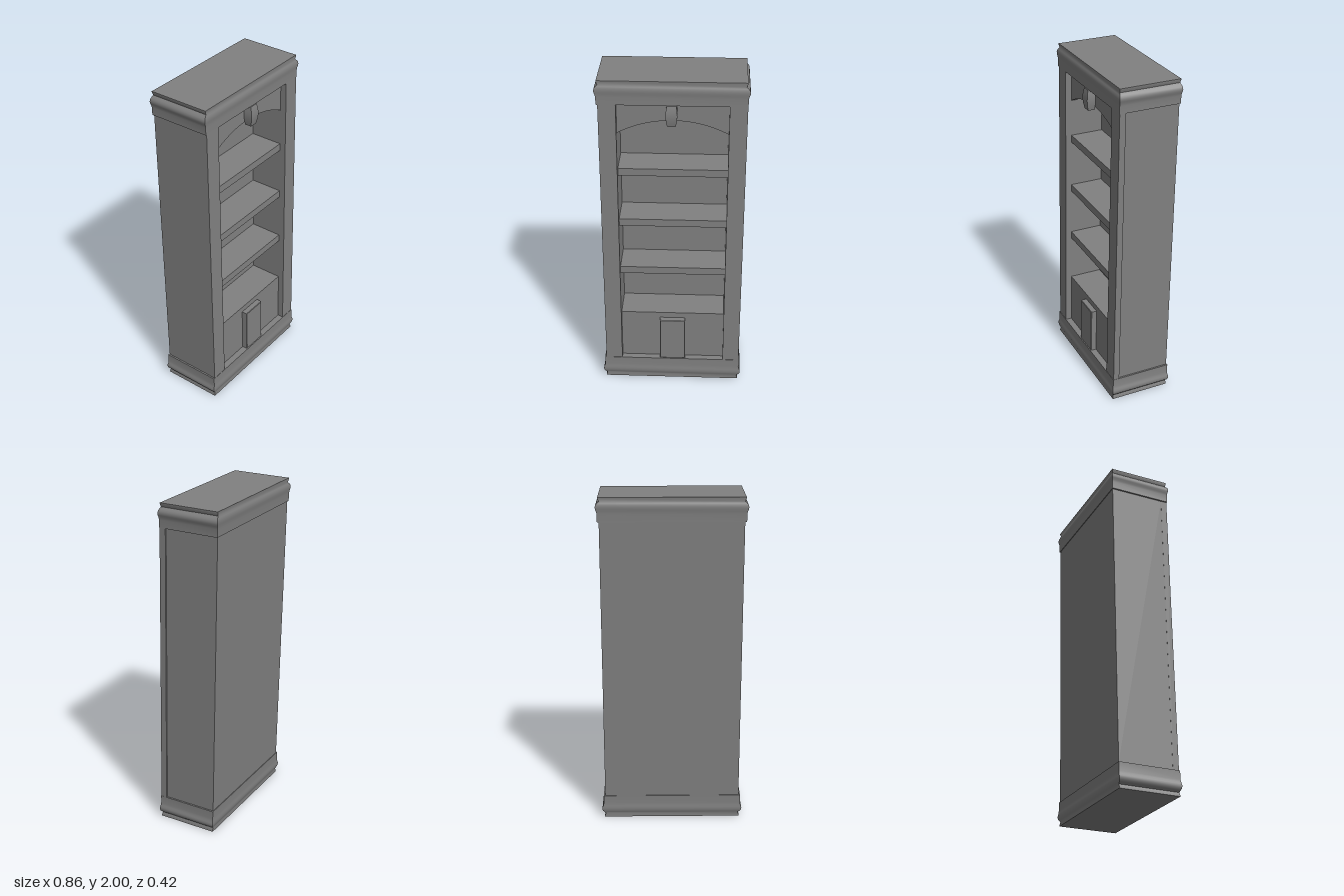
import * as THREE from 'three';
import { toCreasedNormals } from 'three/addons/utils/BufferGeometryUtils.js';

const MID = 0.004;          // centre line of the front frame
const OPEN = 0.315;         // half width of the opening
const FACE = 0.145;         // front of the shelves, behind the stiles
const BACK = -0.055;        // inside of the back panel
const REAR = -0.18;         // outside of the back panel
const LOW = 0.145, HIGH = 1.86;

// The whole bookcase leans slightly backwards while staying level
const LEAN = 0.0212;
const lean = new THREE.Matrix4().set(1, 0, 0, 0, 0, 1, 0, 0, 0, -LEAN, 1, LEAN, 0, 0, 0, 1);

// Box given by its limits
function block(x0, x1, y0, y1, z0, z1, ySegments = 1) {
  return new THREE.BoxGeometry(x1 - x0, y1 - y0, z1 - z0, 1, ySegments, 1)
    .translate((x0 + x1) / 2, (y0 + y1) / 2, (z0 + z1) / 2);
}

// Four-sided moulding, shallower to front and back: profile points are [outward offset, y]
function moulding(profile) {
  const points = profile.map(([o, y]) => new THREE.Vector2(1 + o, y));
  points.unshift(new THREE.Vector2(0, profile[0][1]));
  points.push(new THREE.Vector2(0, profile[profile.length - 1][1]));
  const geo = new THREE.LatheGeometry(points, 4, Math.PI / 4);
  const p = geo.attributes.position;
  for (let i = 0; i < p.count; i++) {
    const r = Math.hypot(p.getX(i), p.getZ(i));
    if (r < 0.01) continue;
    p.setX(i, Math.sign(p.getX(i)) * (0.415 + r - 1));
    p.setZ(i, Math.sign(p.getZ(i)) * (0.182 + (r - 1) * 0.4));
  }
  return toCreasedNormals(geo, 1);
}

export function createModel() {
  const model = new THREE.Group();
  model.name = 'bookcase';
  const material = new THREE.MeshStandardMaterial({ color: 0x808080 });

  function add(name, geometry) {
    geometry.applyMatrix4(lean);
    const mesh = new THREE.Mesh(geometry, material);
    mesh.name = name;
    model.add(mesh);
  }

  // Base and crown share one profile, mirrored top to bottom
  const profile = [[0, 0], [0, 0.006], [-0.007, 0.024], [0.004, 0.034], [0.012, 0.044],
    [0.015, 0.056], [0.013, 0.068], [0.008, 0.08], [0.005, 0.095], [0.005, LOW]];
  add('base', moulding(profile));
  add('crown', moulding(profile.map(([o, y]) => [o, y === LOW ? HIGH : 2 - y]).reverse()));

  // Carcass sides, front stiles and back
  for (const side of [-1, 1]) {
    const inner = MID + side * OPEN;
    const span = (outer) => [Math.min(inner, outer), Math.max(inner, outer)];
    const prefix = side > 0 ? 'left' : 'right';
    add(prefix + 'Side', block(...span(side * 0.41), LOW, HIGH, REAR, FACE));
    add(prefix + 'Stile', block(...span(MID + side * 0.415), LOW, HIGH, FACE, 0.182));
  }
  const x0 = MID - OPEN, x1 = MID + OPEN;
  add('backPanel', block(x0, x1, LOW, HIGH, REAR, BACK));

  // Shelves
  for (const top of [0.465, 0.793, 1.122, 1.452]) {
    add('shelf', block(x0, x1, top - 0.045, top, BACK, FACE));
  }

  // Lower front panel and its raised centre block
  add('lowerPanel', block(x0, x1, LOW, 0.42, BACK, FACE));
  const plaque = new THREE.Shape();
  plaque.moveTo(-0.075, LOW + 0.004);
  plaque.lineTo(0.075, LOW + 0.004);
  plaque.lineTo(0.075, 0.426);
  plaque.lineTo(-0.075, 0.426);
  add('raisedPanel', new THREE.ExtrudeGeometry(plaque, {
    depth: 0.032, bevelSize: 0.003, bevelThickness: 0.003, bevelSegments: 1,
  }).translate(MID, 0, FACE));

  // Arched valance under the crown
  const rise = 0.08, foot = 1.675;
  const radius = (OPEN * OPEN + rise * rise) / (2 * rise);
  const half = Math.asin(OPEN / radius);
  const arch = new THREE.Shape();
  arch.moveTo(-OPEN, HIGH);
  arch.lineTo(-OPEN, foot);
  arch.absarc(0, foot + rise - radius, radius, Math.PI / 2 + half, Math.PI / 2 - half, true);
  arch.lineTo(OPEN, HIGH);
  add('archedValance', toCreasedNormals(new THREE.ExtrudeGeometry(arch, {
    depth: 0.035, bevelEnabled: false, curveSegments: 24,
  }).translate(MID, 0, FACE - 0.035), 0.6));

  // Keystone, swelling in the middle and tapering to its foot
  const keystone = block(-0.032, 0.032, 1.737, HIGH, 0, 0.051, 8);
  const p = keystone.attributes.position;
  for (let i = 0; i < p.count; i++) {
    const t = (p.getY(i) - 1.737) / (HIGH - 1.737);
    const swell = Math.sin(Math.PI * t);
    p.setX(i, p.getX(i) * (0.74 + 0.08 * t + 0.24 * swell));
    p.setZ(i, p.getZ(i) * (0.8 + 0.06 * t + 0.17 * swell));
  }
  add('keystone', toCreasedNormals(keystone.translate(MID - 0.006, 0, FACE), 0.6));

  return model;
}
